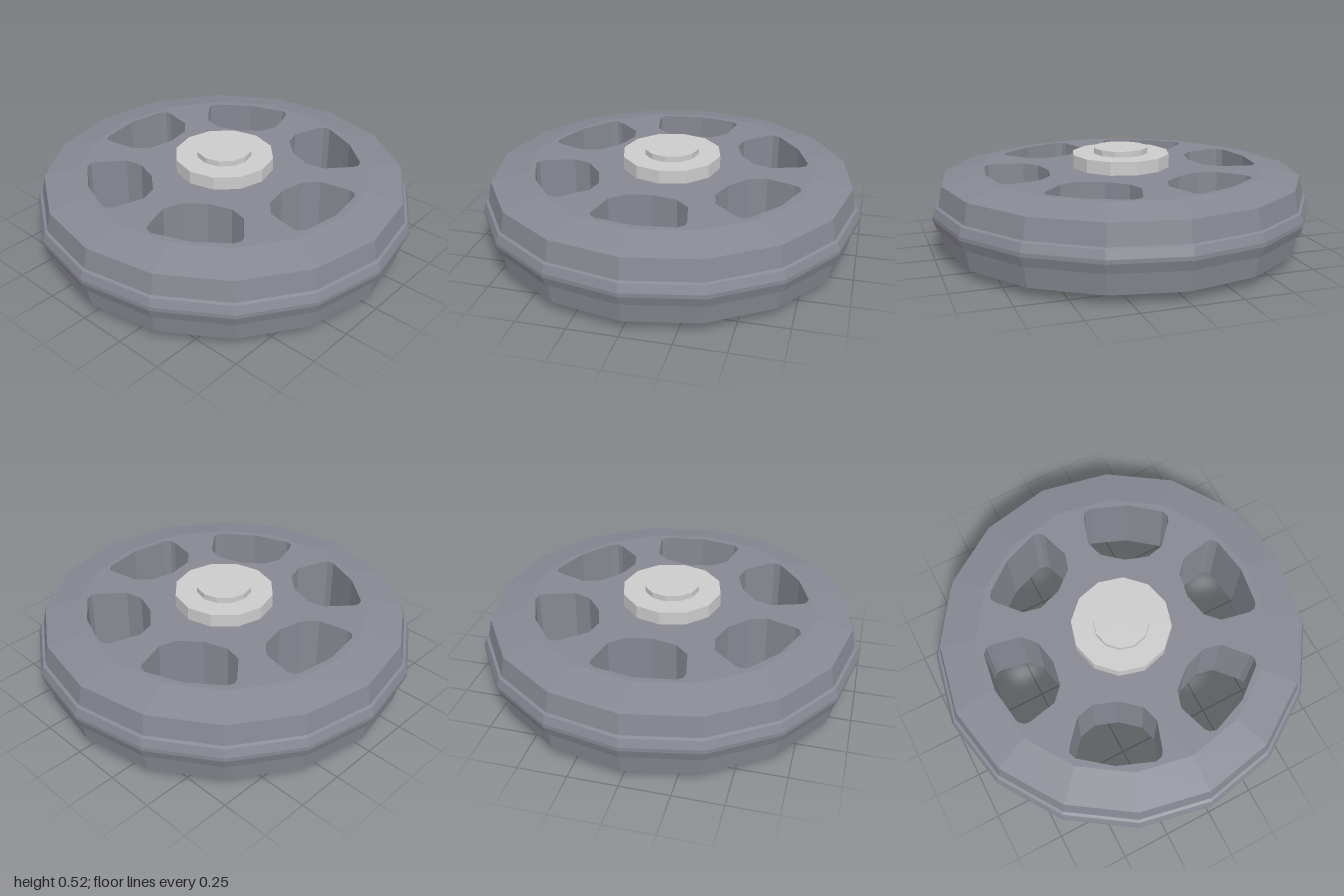
import * as THREE from 'three';

const WHEEL_SIDES = 16, HUB_SIDES = 12, HEIGHT = 0.425, BORE = 0.26, CAP = 0.145;
const v2 = ([x, y]) => new THREE.Vector2(x, y);

// Corner points of a regular polygon
const ring = (r, n) => Array.from({ length: n }, (_, i) => {
  const a = (i / n) * Math.PI * 2;
  return new THREE.Vector2(r * Math.cos(a), r * Math.sin(a));
});

export function createModel() {
  const model = new THREE.Group();
  model.name = 'wheel';
  const wheelMat = new THREE.MeshStandardMaterial({ color: 0x888893, flatShading: true });
  const hubMat = new THREE.MeshStandardMaterial({ color: 0xcccccc, flatShading: true });

  const add = (name, geometry, material) => {
    const mesh = new THREE.Mesh(geometry, material);
    mesh.name = name;
    model.add(mesh);
  };
  const lathe = (profile, sides) => new THREE.LatheGeometry(profile.map(v2), sides);

  // Tyre: bevelled shoulders with a raised band round the middle
  add('tyre', lathe([
    [0.76, 0], [0.95, 0.05], [0.968, 0.155], [0.982, 0.16], [1, 0.21], [1, 0.23],
    [0.985, 0.272], [0.97, 0.278], [0.95, 0.383], [0.76, HEIGHT],
  ], WHEEL_SIDES), wheelMat);

  // Disc with six rounded cut-outs and a central bore
  const disc = new THREE.Shape(ring(0.76, WHEEL_SIDES));
  const half = [[0.13, 0.42], [0.2, 0.485], [0.232, 0.64], [0.228, 0.67], [0.2, 0.695]];
  const cutout = [
    [0, 0.395], ...half, [0, 0.725],
    ...half.map(([x, y]) => [-x, y]).reverse(),
  ].map(v2);
  const centre = new THREE.Vector2();
  for (let i = 0; i < 6; i++) {
    const points = cutout.map((p) => p.clone().rotateAround(centre, (i * Math.PI) / 3));
    disc.holes.push(new THREE.Path(points));
  }
  disc.holes.push(new THREE.Path(ring(BORE, HUB_SIDES)));
  const discGeometry = new THREE.ExtrudeGeometry(disc, { depth: HEIGHT, bevelEnabled: false });
  discGeometry.rotateX(-Math.PI / 2);
  add('spokedDisc', discGeometry, wheelMat);

  // Stepped recess seen in the bore from below
  add('boreRecess', lathe(
    [[0, 0.18], [CAP, 0.18], [CAP, 0.15], [BORE, 0.15]], HUB_SIDES), wheelMat);

  // Hub and axle cap standing proud of the top
  add('hub', lathe(
    [[BORE, HEIGHT], [BORE, 0.495], [CAP, 0.495]], HUB_SIDES), hubMat);
  add('axleCap', lathe(
    [[CAP, 0.495], [CAP, 0.525], [0, 0.525]], HUB_SIDES), hubMat);

  return model;
}
